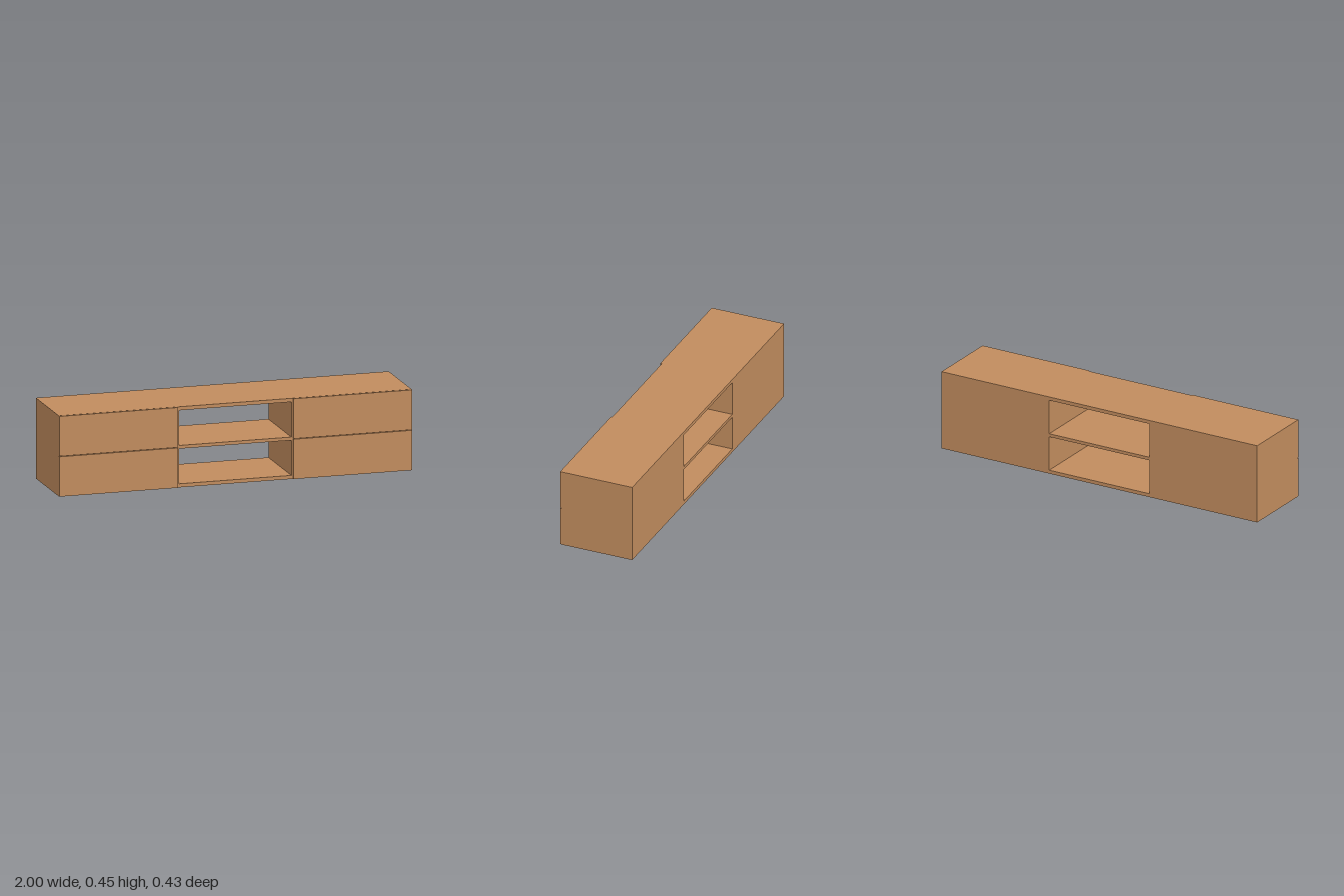
import * as THREE from 'three';

const W = 2, H = 0.45;          // overall width and height
const BACK = -0.215, CARCASS = 0.205, FRONT = 0.215; // depth planes
const T = 0.02;                 // board thickness
const OPEN = 0.318;             // half width of the central niche
const FRONT_EDGE = 0.327;       // inner edge of the drawer fronts
const GAP = 0.003;              // reveal between drawer fronts

export function createModel() {
  const group = new THREE.Group();
  group.name = 'mediaConsole';
  const wood = new THREE.MeshStandardMaterial({ color: 0xc18c5e });

  // Board given by its extents on each axis
  const board = (name, x0, x1, y0, y1, z0, z1) => {
    const mesh = new THREE.Mesh(new THREE.BoxGeometry(x1 - x0, y1 - y0, z1 - z0), wood);
    mesh.position.set((x0 + x1) / 2, (y0 + y1) / 2, (z0 + z1) / 2);
    mesh.name = name;
    group.add(mesh);
  };

  // Carcass: top, bottom and the open niche's shelf
  board('topPanel', -W / 2, W / 2, H - T, H, BACK, CARCASS);
  board('bottomPanel', -W / 2, W / 2, 0, T, BACK, CARCASS);
  board('middleShelf', -OPEN, OPEN, H / 2 - 0.009, H / 2 + 0.009, BACK, CARCASS);

  for (const [side, s] of [['left', 1], ['right', -1]]) {
    const mirrored = (name, a, b, ...rest) =>
      board(side + name, Math.min(s * a, s * b), Math.max(s * a, s * b), ...rest);

    // Uprights and closed back of each drawer bay
    mirrored('SidePanel', W / 2 - T, W / 2, T, H - T, BACK, CARCASS);
    mirrored('Divider', OPEN, OPEN + T, T, H - T, BACK, CARCASS);
    mirrored('BackPanel', OPEN + T, W / 2 - T, T, H - T, BACK, BACK + 0.01);
    mirrored('DrawerRail', OPEN + T, W / 2 - T, H / 2 - 0.009, H / 2 + 0.009, CARCASS - 0.05, CARCASS);

    // Two overlay drawer fronts
    mirrored('LowerDrawerFront', FRONT_EDGE, W / 2, 0.001, H / 2 - GAP / 2, CARCASS, FRONT);
    mirrored('UpperDrawerFront', FRONT_EDGE, W / 2, H / 2 + GAP / 2, H - 0.001, CARCASS, FRONT);
  }
  return group;
}
